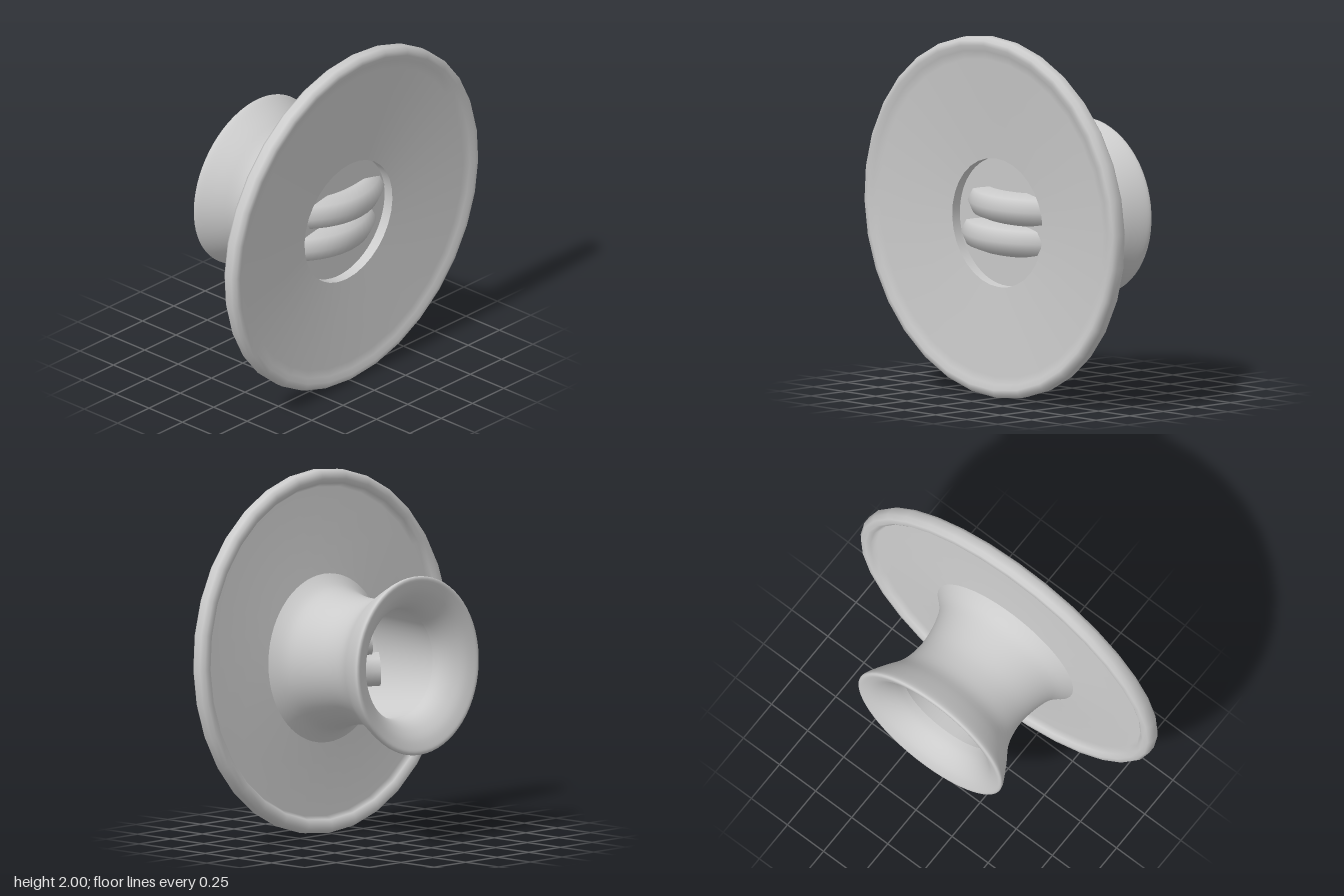
import * as THREE from 'three';

const material = new THREE.MeshStandardMaterial({ color: 0xcccccc });
const doubleSided = new THREE.MeshStandardMaterial({ color: 0xcccccc, side: THREE.DoubleSide });
const HOLE = 0.357;
const OFFSET = -0.035; // the spool sits slightly below the plate's centre
const FLOOR = -0.078;

const toVectors = (list) => list.map(([r, z]) => new THREE.Vector2(r, z));

// Lathe around the z axis from [radius, z] pairs
function latheZ(points, segments) {
  return new THREE.LatheGeometry(points, segments).rotateX(Math.PI / 2);
}

function addMesh(parent, name, geometry, mat = material) {
  const mesh = new THREE.Mesh(geometry, mat);
  mesh.name = name;
  parent.add(mesh);
  return mesh;
}

// Dished plate with a thick rounded rim and an off-centre hole
function plateGeometry() {
  const geometry = latheZ(toVectors([
    [0.40, -0.038], [0.905, -0.002], [0.925, -0.032], [0.95, -0.048],
    [0.982, -0.044], [1.0, -0.022], [1.0, 0.022], [0.982, 0.044], [0.955, 0.047],
    [0.925, 0.034], [0.88, 0.024], [HOLE, -0.02],
  ]), 32);
  const p = geometry.attributes.position;
  for (let i = 0; i < p.count; i++) {
    const r = Math.hypot(p.getX(i), p.getY(i));
    const t = THREE.MathUtils.clamp((0.93 - r) / (0.93 - HOLE), 0, 1);
    p.setY(i, p.getY(i) + OFFSET * t);
  }
  return geometry;
}

// Flared spool: from the throat over the rolled lip, then along the waisted outside
function spoolGeometry() {
  const profile = new THREE.SplineCurve(toVectors([
    [0.30, -0.55], [0.312, -0.60], [0.345, -0.65], [0.40, -0.695], [0.455, -0.718],
    [0.48, -0.722], [0.491, -0.71], [0.475, -0.67], [0.43, -0.59], [0.38, -0.51],
    [0.355, -0.43], [0.346, -0.33], [0.36, -0.22], [0.39, -0.12], [0.435, -0.06],
    [0.485, -0.015],
  ]));
  return latheZ(profile.getPoints(45), 64);
}

// Open bent bar whose ends curve backwards
function barGeometry() {
  const arc = THREE.MathUtils.degToRad(84);
  return new THREE.TorusGeometry(0.4, 0.093, 8, 14, arc)
    .rotateZ((Math.PI - arc) / 2)
    .rotateX(Math.PI / 2)
    .translate(0, 0, -0.4);
}

export function createModel() {
  const model = new THREE.Group();
  model.name = 'flangedSpool';

  // Everything leans slightly forward at the top
  const body = new THREE.Group();
  body.name = 'body';
  body.position.set(0, 1, 0.328);
  body.rotation.set(0.038, 0.015, 0);
  model.add(body);

  addMesh(body, 'plate', plateGeometry());

  const core = new THREE.Group();
  core.name = 'core';
  core.position.y = OFFSET;
  body.add(core);

  addMesh(core, 'spool', spoolGeometry());
  addMesh(core, 'bore', latheZ(toVectors([[HOLE, FLOOR], [0.30, -0.55]]), 64));
  addMesh(core, 'holeWall', latheZ(toVectors([[HOLE, -0.02], [HOLE, FLOOR]]), 64), doubleSided);
  addMesh(core, 'recessedFloor', new THREE.CircleGeometry(HOLE, 64)).position.z = FLOOR;

  // Two staggered bars in the recess
  for (const side of [1, -1]) {
    const bar = addMesh(core, side > 0 ? 'upperBar' : 'lowerBar', barGeometry());
    bar.position.set(side * 0.03, side > 0 ? 0.085 : -0.093, -0.05);
    bar.rotation.z = -0.025;
  }
  return model;
}
